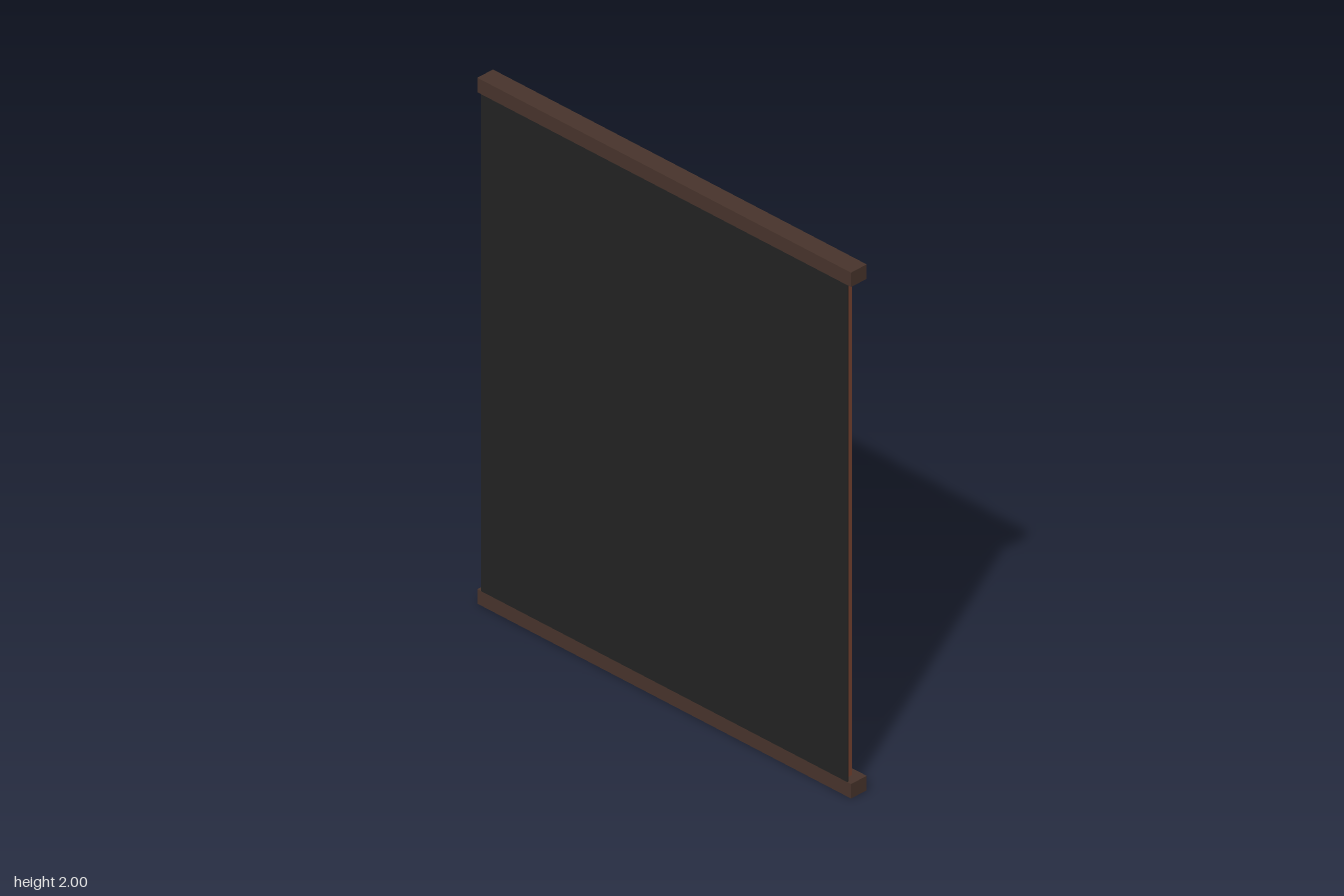
import * as THREE from 'three';

const WIDTH = 1.67, RAIL_WIDTH = 1.704, RAIL_H = 0.055, RAIL_D = 0.072;
const FRONT = RAIL_D / 2, SHEET = 0.006;
const SLATS = 31, SLAT_W = 0.036, SLAT_D = 0.036, SPAN = 1.63;

export function createModel() {
  const group = new THREE.Group();
  group.name = 'slattedPanel';

  const railWood = new THREE.MeshStandardMaterial({ name: 'dark brown wood', color: 0x48342c });
  const slatWood = new THREE.MeshStandardMaterial({ name: 'reddish wood', color: 0x774230 });
  const felt = new THREE.MeshStandardMaterial({ name: 'black felt', color: 0x232323 });

  const box = (name, material, w, h, d, x, y, z, parent = group) => {
    const mesh = new THREE.Mesh(new THREE.BoxGeometry(w, h, d), material);
    mesh.name = name;
    mesh.position.set(x, y, z);
    parent.add(mesh);
  };

  // Rails along the floor and the top
  box('bottomRail', railWood, RAIL_WIDTH, RAIL_H, RAIL_D, 0, RAIL_H / 2, 0);
  box('topRail', railWood, RAIL_WIDTH, RAIL_H, RAIL_D, 0, 2 - RAIL_H / 2, 0);

  // Thin backing sheet, flush with the front of the rails
  const height = 2 - 2 * RAIL_H;
  box('backingSheet', felt, WIDTH, height, SHEET, 0, 1, FRONT - SHEET / 2);

  // Evenly spaced vertical slats behind the sheet
  const slats = new THREE.Group();
  slats.name = 'slats';
  group.add(slats);
  const pitch = (SPAN - SLAT_W) / (SLATS - 1);
  for (let i = 0; i < SLATS; i++) {
    const x = (i - (SLATS - 1) / 2) * pitch;
    box('slat', slatWood, SLAT_W, height, SLAT_D, x, 1, FRONT - SHEET - SLAT_D / 2, slats);
  }
  return group;
}
